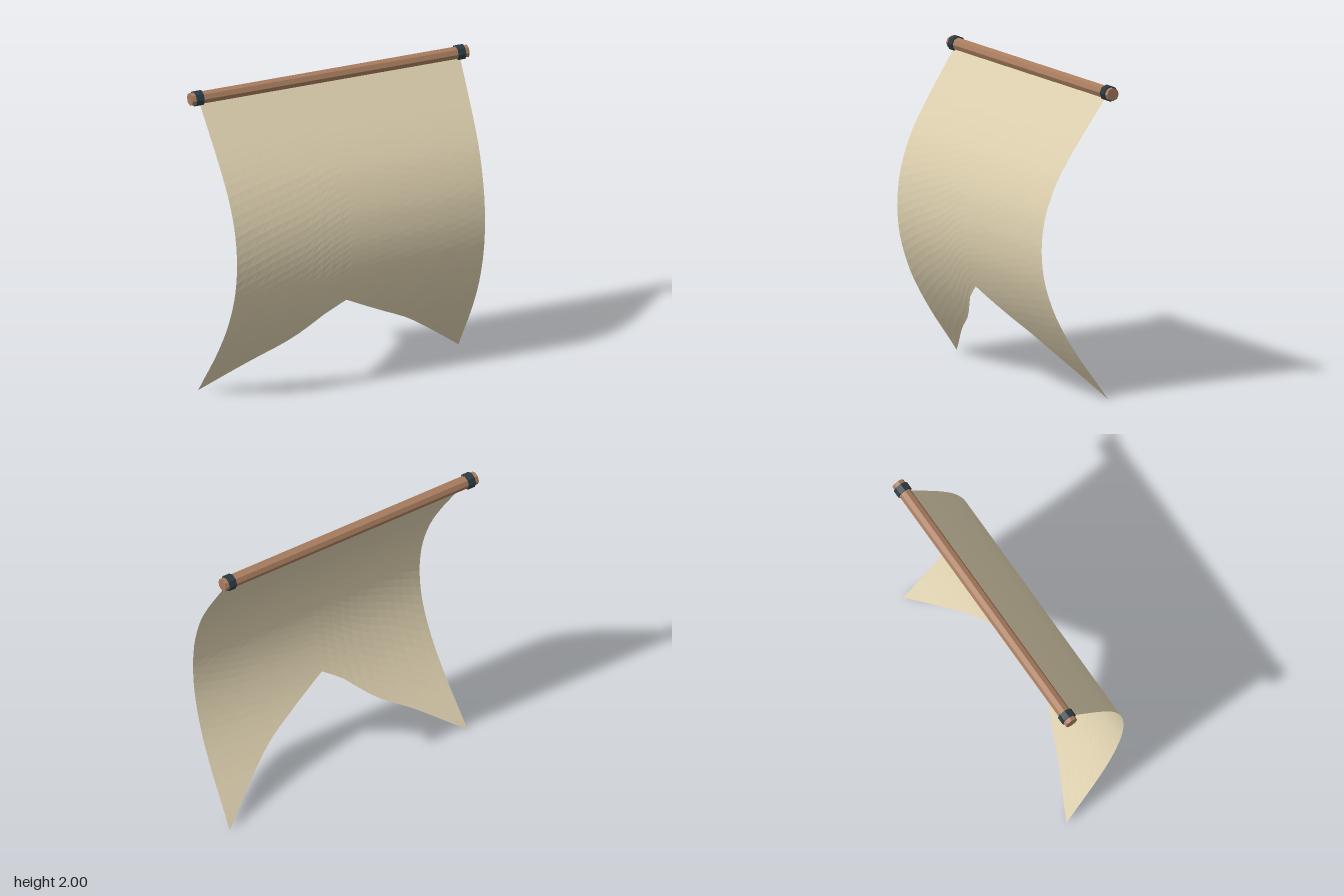
import * as THREE from 'three';

// Smooth curve through [position, value] pairs, returned as a function
function curveThrough(points) {
  const c = new THREE.CubicInterpolant(
    new Float32Array(points.map(p => p[0])), new Float32Array(points.map(p => p[1])), 1, new Float32Array(1));
  return t => c.evaluate(t)[0];
}

const ROD_Y = 1.95, ROD_Z = -0.2;

// Billow of the cloth and its half width, both by height
const billow = curveThrough([[0, -0.2], [0.05, -0.165], [0.3, 0.015], [0.5, 0.135], [0.65, 0.2], [0.8, 0.243],
  [0.95, 0.26], [1.05, 0.258], [1.2, 0.235], [1.4, 0.163], [1.55, 0.078], [1.75, -0.058], [1.95, -0.2]]);
const halfWidth = curveThrough([[0, 0.905], [0.4, 0.88], [0.8, 0.864], [1.2, 0.866], [1.6, 0.887], [1.95, 0.908]]);

// Bottom edge on each side of the notch, by position across the width (-1..1)
const NOTCH = -0.069;
const hemRight = curveThrough([[-1, 0], [-0.68, 0.2], [-0.43, 0.335], [-0.33, 0.41], [-0.23, 0.495], [NOTCH, 0.59]]);
const hemLeft = curveThrough([[NOTCH, 0.59], [0.11, 0.51], [0.28, 0.435], [0.48, 0.345], [0.75, 0.175], [1, 0]]);

function clothGeometry() {
  const half = 12, cols = half * 2, rows = 32;
  const geo = new THREE.PlaneGeometry(1, 1, cols, rows);
  const pos = geo.attributes.position;
  for (let j = 0; j <= rows; j++) {
    for (let i = 0; i <= cols; i++) {
      const s = i <= half
        ? THREE.MathUtils.lerp(-1, NOTCH, i / half)
        : THREE.MathUtils.lerp(NOTCH, 1, (i - half) / half);
      const hem = i <= half ? hemRight(s) : hemLeft(s);
      const y = THREE.MathUtils.lerp(ROD_Y, hem, j / rows);
      pos.setXYZ(j * (cols + 1) + i, s * halfWidth(y), y, billow(y));
    }
  }
  geo.computeVertexNormals();
  return geo;
}

export function createModel() {
  const group = new THREE.Group();
  const material = (color, side = THREE.FrontSide) =>
    new THREE.MeshStandardMaterial({ color, side, flatShading: true });
  const wood = material(0xa87c5e), iron = material(0x2b3a42);

  // Eight-sided bar lying along x
  const bar = (name, radius, length, x, mat) => {
    const mesh = new THREE.Mesh(new THREE.CylinderGeometry(radius, radius, length, 8), mat);
    mesh.name = name;
    mesh.rotation.z = Math.PI / 2;
    mesh.position.set(x, ROD_Y, ROD_Z);
    group.add(mesh);
  };

  // Rod with a band near each end
  bar('rod', 0.042, 1.926, 0, wood);
  for (const side of [-1, 1]) bar(side > 0 ? 'leftBand' : 'rightBand', 0.051, 0.05, side * 0.91, iron);

  // Hanging banner with a notched hem
  const cloth = new THREE.Mesh(clothGeometry(), material(0xdccfae, THREE.DoubleSide));
  cloth.name = 'bannerCloth';
  group.add(cloth);

  return group;
}
